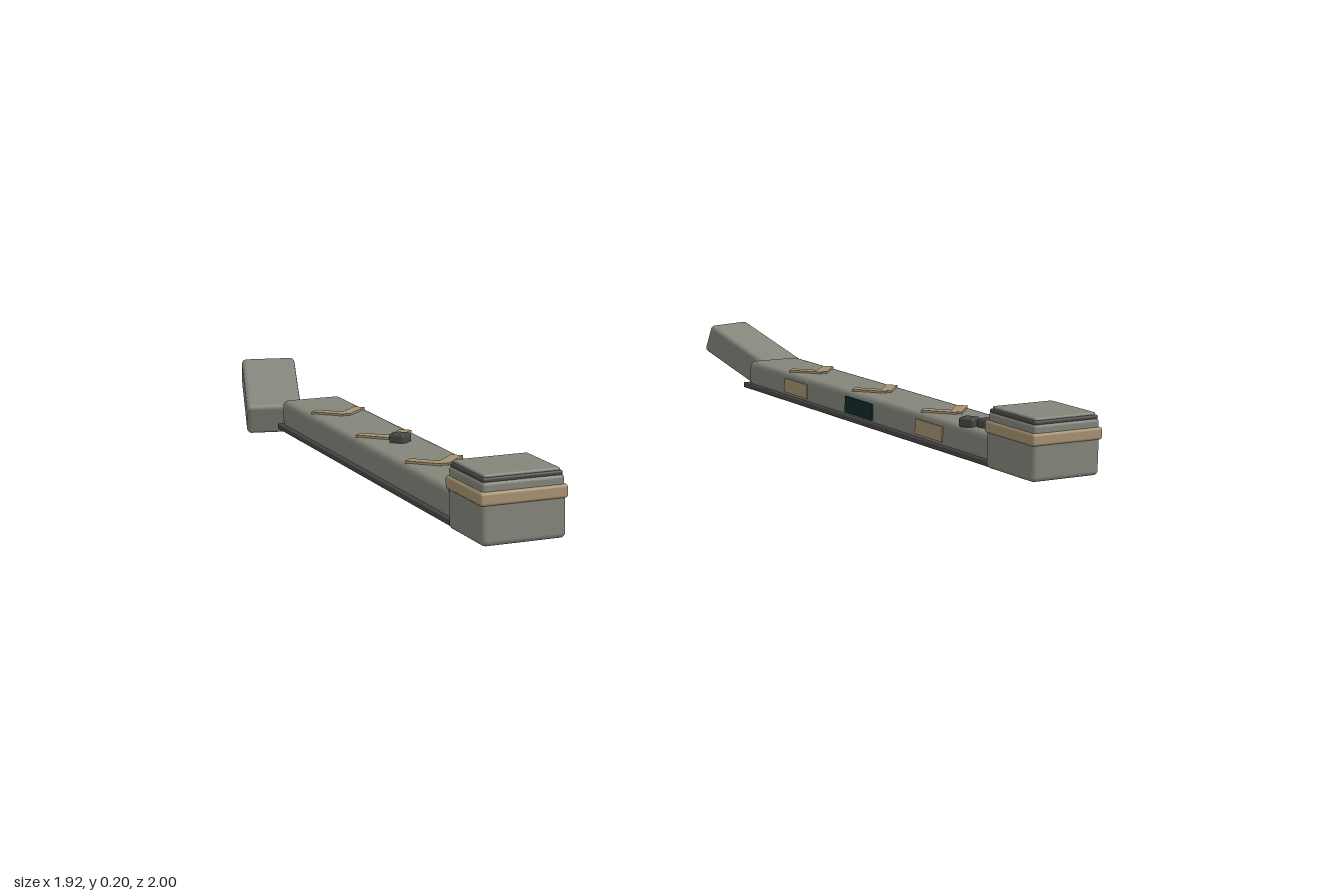
import * as THREE from 'three';
import { RoundedBoxGeometry } from 'three/addons/geometries/RoundedBoxGeometry.js';

const material = (name, color) => {
  const m = new THREE.MeshStandardMaterial({ color });
  m.name = name;
  return m;
};

export function createModel() {
  const stone = material('grey stone', 0x83847a);
  const dark = material('dark stone', 0x464744);
  const tan = material('tan trim', 0xa59170);
  const teal = material('dark teal glass', 0x10282a);

  const model = new THREE.Group();
  model.name = 'pairedRails';

  // Box with softened edges; radius 0 gives a plain box
  function block(parent, name, mat, size, pos, radius = 0) {
    const geo = radius
      ? new RoundedBoxGeometry(...size, 2, radius)
      : new THREE.BoxGeometry(...size);
    const mesh = new THREE.Mesh(geo, mat);
    mesh.name = name;
    mesh.position.set(...pos);
    parent.add(mesh);
    return mesh;
  }

  for (const side of [-1, 1]) {
    const rail = new THREE.Group();
    rail.name = side < 0 ? 'rightRail' : 'leftRail';
    rail.position.x = side * 0.796;
    model.add(rail);

    // Long beam on a dark base plate
    block(rail, 'basePlate', dark, [0.198, 0.017, 1.405], [0, 0.0385, 0.0775], 0.004);
    block(rail, 'beam', stone, [0.182, 0.082, 1.4], [0, 0.08, 0.095], 0.018);

    // V markings along the top and panels on the inner face
    [-0.328, 0.052, 0.432].forEach((z, i) => {
      for (const arm of [-1, 1]) {
        const bar = block(rail, 'chevronArm', tan, [0.105, 0.01, 0.034], [arm * 0.033, 0.122, z]);
        bar.rotation.y = arm * 0.82;
      }
      const isGlass = i === 1;
      block(rail, isGlass ? 'glassPanel' : 'tanPanel', isGlass ? teal : tan,
        [0.008, isGlass ? 0.05 : 0.045, isGlass ? 0.152 : 0.14],
        [-side * (isGlass ? 0.093 : 0.0905), 0.079, z + 0.033]);
    });

    // Front post, stacked upwards: body, band, shoulder, dark joint, cap
    const post = new THREE.Group();
    post.name = 'frontPost';
    post.position.z = 0.885;
    rail.add(post);
    const layers = [
      ['postBody', stone, 0.222, 0.03, 0.145, 0.014],
      ['postBand', tan, 0.23, 0.13, 0.165, 0.008],
      ['postShoulder', stone, 0.217, 0.15, 0.189, 0.01],
      ['postJoint', dark, 0.21, 0.185, 0.198, 0.005],
      ['postCap', stone, 0.2, 0.19, 0.205, 0.005],
    ];
    for (const [name, mat, width, low, high, r] of layers) {
      block(post, name, mat, [width, high - low, width], [0, (low + high) / 2, 0], r);
    }

    // Broken end block, turned and tipped up at the back
    const end = block(rail, 'tiltedEndBlock', stone, [0.162, 0.097, 0.304], [side * 0.052, 0.096, -0.832], 0.014);
    end.rotation.set(0.345, side * 0.25, 0, 'YXZ');
  }

  // Loose rubble: x, z, turn
  const rubble = [
    [-0.79, 0.138, 0.7], [-0.748, 0.587, 0.75],
    [0.728, 0.632, 0.5], [0.76, 0.677, 0.3],
  ];
  for (const [x, z, turn] of rubble) {
    block(model, 'rubble', dark, [0.047, 0.028, 0.047], [x, 0.131, z], 0.007).rotation.y = turn;
  }
  return model;
}
